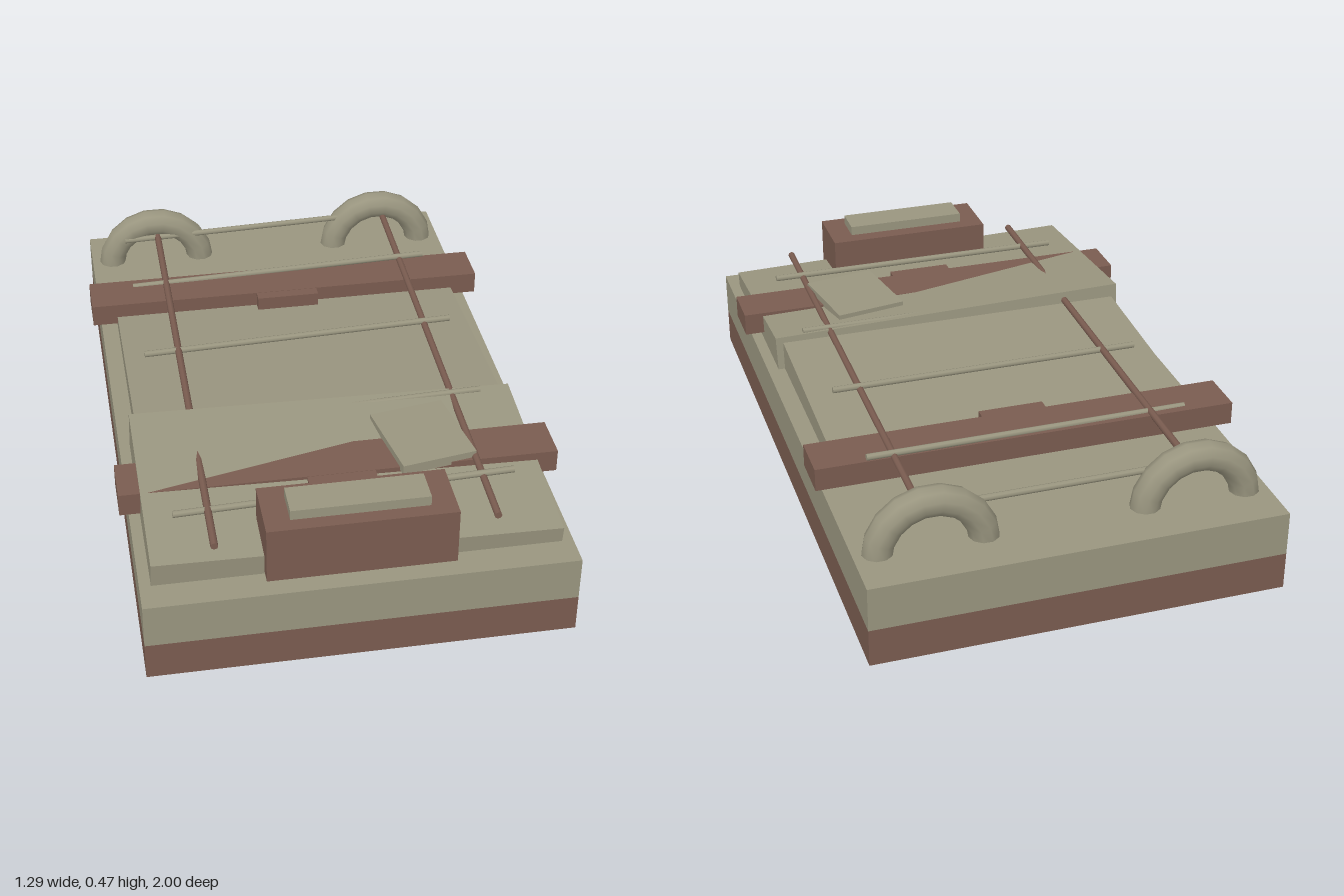
import * as THREE from 'three';

const stone = new THREE.MeshStandardMaterial({ color: 0x99957f });
stone.name = 'weathered stone';
const wood = new THREE.MeshStandardMaterial({ color: 0x7a5c50 });
wood.name = 'brown wood';

export function createModel() {
  const model = new THREE.Group();
  model.name = 'boundSlab';

  const add = (name, geometry, material, x, y, z) => {
    const mesh = new THREE.Mesh(geometry, material);
    mesh.name = name;
    mesh.position.set(x, y, z);
    model.add(mesh);
    return mesh;
  };

  // Box given by its extents along each axis
  const box = (name, material, [x0, x1], [y0, y1], [z0, z1]) =>
    add(name, new THREE.BoxGeometry(x1 - x0, y1 - y0, z1 - z0), material,
      (x0 + x1) / 2, (y0 + y1) / 2, (z0 + z1) / 2);

  // Round bar between two points
  const bar = (name, material, from, to, radius) => {
    const a = new THREE.Vector3(...from), b = new THREE.Vector3(...to);
    const dir = b.clone().sub(a);
    const mesh = add(name, new THREE.CylinderGeometry(radius, radius, dir.length(), 8),
      material, (a.x + b.x) / 2, (a.y + b.y) / 2, (a.z + b.z) / 2);
    mesh.quaternion.setFromUnitVectors(new THREE.Vector3(0, 1, 0), dir.normalize());
    return mesh;
  };

  // Two-layer base
  box('lowerBase', wood, [-0.615, 0.615], [0, 0.115], [-1, 1]);
  box('upperBase', stone, [-0.615, 0.615], [0.115, 0.25], [-1, 1]);

  // Broken cover: two tilted slabs
  const rear = box('rearSlab', stone, [-0.563, 0.56], [0.22, 0.32], [-0.455, 0.275]);
  rear.rotation.x = -0.055;
  const front = box('frontSlab', stone, [-0.582, 0.582], [0.221, 0.341], [0.27, 0.91]);
  front.rotation.set(0.09, 0, -0.021);

  // Cross beams with a centre tab on the front edge
  for (const z of [-0.457, 0.552]) {
    box('crossBeam', wood, [-0.643, 0.643], [0.28, 0.35], [z - 0.073, z + 0.073]);
    box('beamTab', wood, [-0.1, 0.1], [0.28, 0.349], [z + 0.07, z + 0.108]);
  }

  // Lengthwise bars
  bar('longBar', wood, [-0.402, 0.35, 0.89], [-0.386, 0.35, -0.82], 0.011);
  bar('longBar', wood, [0.396, 0.352, 0.89], [0.412, 0.352, -0.82], 0.011);

  // Crosswise bars, slightly askew
  for (const z of [-0.51, -0.1, 0.308, 0.715]) {
    bar('crossBar', stone, [-0.5, 0.347, z + 0.014], [0.49, 0.361, z - 0.014], 0.01);
  }
  bar('crossBar', stone, [-0.5, 0.347, -0.803], [0.49, 0.361, -0.83], 0.01);

  // Half rings at the back
  for (const side of [-1, 1]) {
    add('backRing', new THREE.TorusGeometry(0.155, 0.045, 10, 9, Math.PI), stone,
      side * 0.392, 0.236, -0.84);
  }

  // Front block with its cap
  box('frontBlock', wood, [-0.268, 0.268], [0.262, 0.435], [0.762, 0.957]);
  box('blockCap', stone, [-0.196, 0.196], [0.43, 0.465], [0.81, 0.915]);

  // Loose fragment lying on the front slab
  const shard = box('looseFragment', stone, [0.152, 0.38], [0.34, 0.371], [0.363, 0.633]);
  shard.rotation.y = 0.17;

  return model;
}
